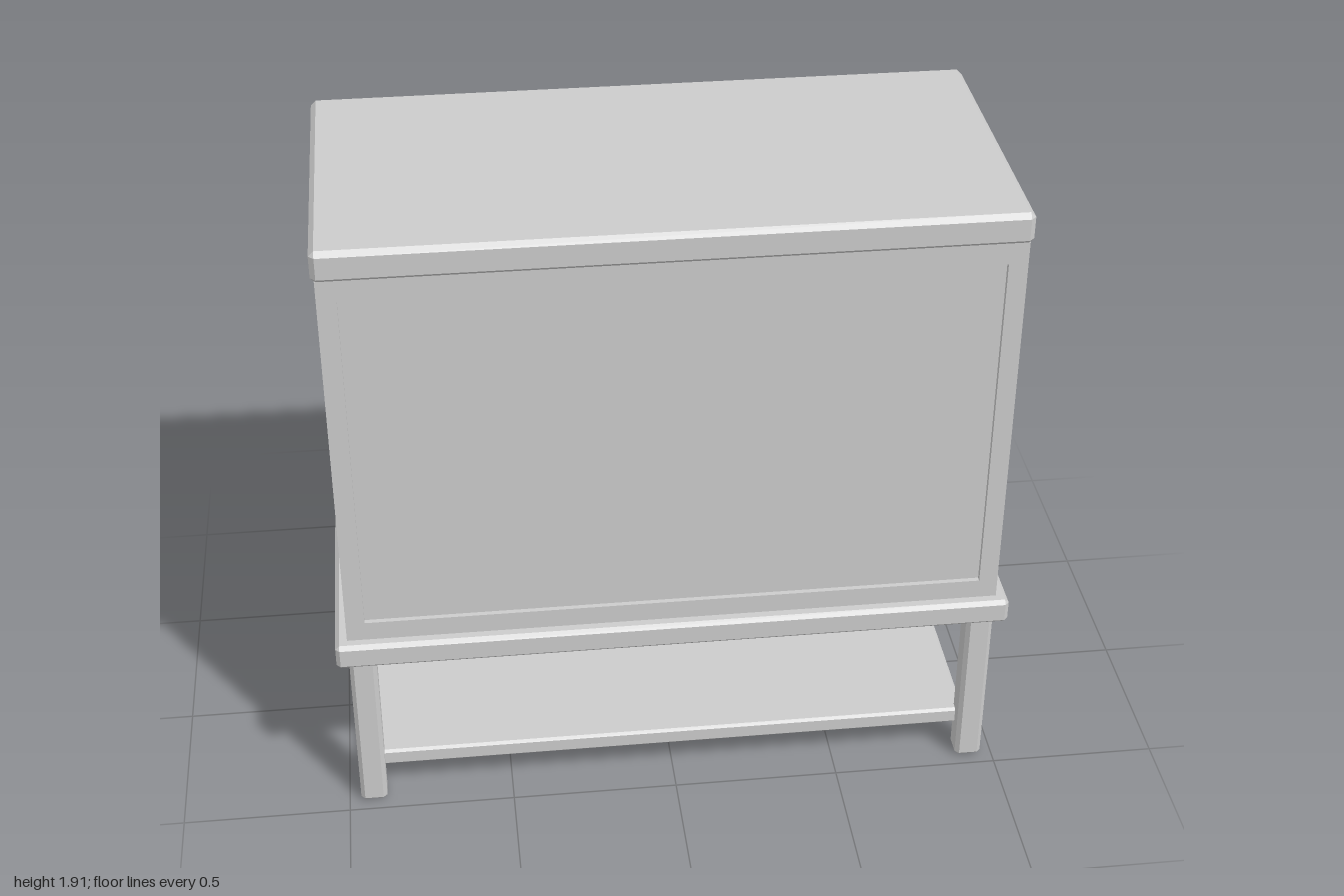
import * as THREE from 'three';
import { ConvexGeometry } from 'three/addons/geometries/ConvexGeometry.js';

const material = new THREE.MeshStandardMaterial({ color: 0xcccccc });

// Box with chamfered edges, standing on y0
function chamferBox(w, y0, y1, d, c) {
  const h = [w / 2, (y1 - y0) / 2, d / 2];
  const points = [];
  for (const sx of [-1, 1]) for (const sy of [-1, 1]) for (const sz of [-1, 1]) {
    for (let full = 0; full < 3; full++) {
      const p = h.map((v, i) => (i === full ? v : v - c));
      points.push(new THREE.Vector3(p[0] * sx, p[1] * sy, p[2] * sz));
    }
  }
  return new ConvexGeometry(points).translate(0, (y0 + y1) / 2, 0);
}

// Flat frame with a rectangular opening, extruded towards +z
function frameGeometry(w, y0, y1, holeW, hy0, hy1, depth) {
  const rect = (path, x, a, b) =>
    path.moveTo(-x, a).lineTo(x, a).lineTo(x, b).lineTo(-x, b).closePath();
  const shape = rect(new THREE.Shape(), w / 2, y0, y1);
  shape.holes.push(rect(new THREE.Path(), holeW / 2, hy0, hy1));
  return new THREE.ExtrudeGeometry(shape, { depth, bevelEnabled: false });
}

export function createModel() {
  const model = new THREE.Group();
  const add = (name, geometry, parent = model) => {
    const mesh = new THREE.Mesh(geometry, material);
    mesh.name = name;
    parent.add(mesh);
    return mesh;
  };

  // Lid and base slab
  add('lid', chamferBox(1.95, 1.82, 1.915, 0.95, 0.015));
  add('baseSlab', chamferBox(2, 0.545, 0.625, 1, 0.012));

  // Body: inner core with a raised frame around each recessed panel
  const y0 = 0.62, y1 = 1.825, recess = 0.015;
  const body = new THREE.Group();
  body.name = 'body';
  model.add(body);
  add('panelCore', new THREE.BoxGeometry(1.9, y1 - y0, 0.9).translate(0, (y0 + y1) / 2, 0), body);
  for (const side of [0, 1]) {
    const long = frameGeometry(1.93, y0, y1, 1.82, 0.685, 1.76, recess).translate(0, 0, 0.45);
    add(side ? 'backFrame' : 'frontFrame', long.rotateY(side * Math.PI), body);
    const short = frameGeometry(0.9, y0, y1, 0.83, 0.685, 1.76, recess).translate(0, 0, 0.95);
    add(side ? 'rightFrame' : 'leftFrame', short.rotateY(Math.PI / 2 + side * Math.PI), body);
  }

  // Four legs
  for (const x of [-0.925, 0.925]) for (const z of [-0.425, 0.425]) {
    const name = (z > 0 ? 'front' : 'back') + (x > 0 ? 'Left' : 'Right') + 'Leg';
    add(name, chamferBox(0.08, 0, 0.55, 0.08, 0.012)).position.set(x, 0, z);
  }

  // Lower shelf between the legs
  add('shelf', chamferBox(1.82, 0.1, 0.155, 0.84, 0.008));

  return model;
}
